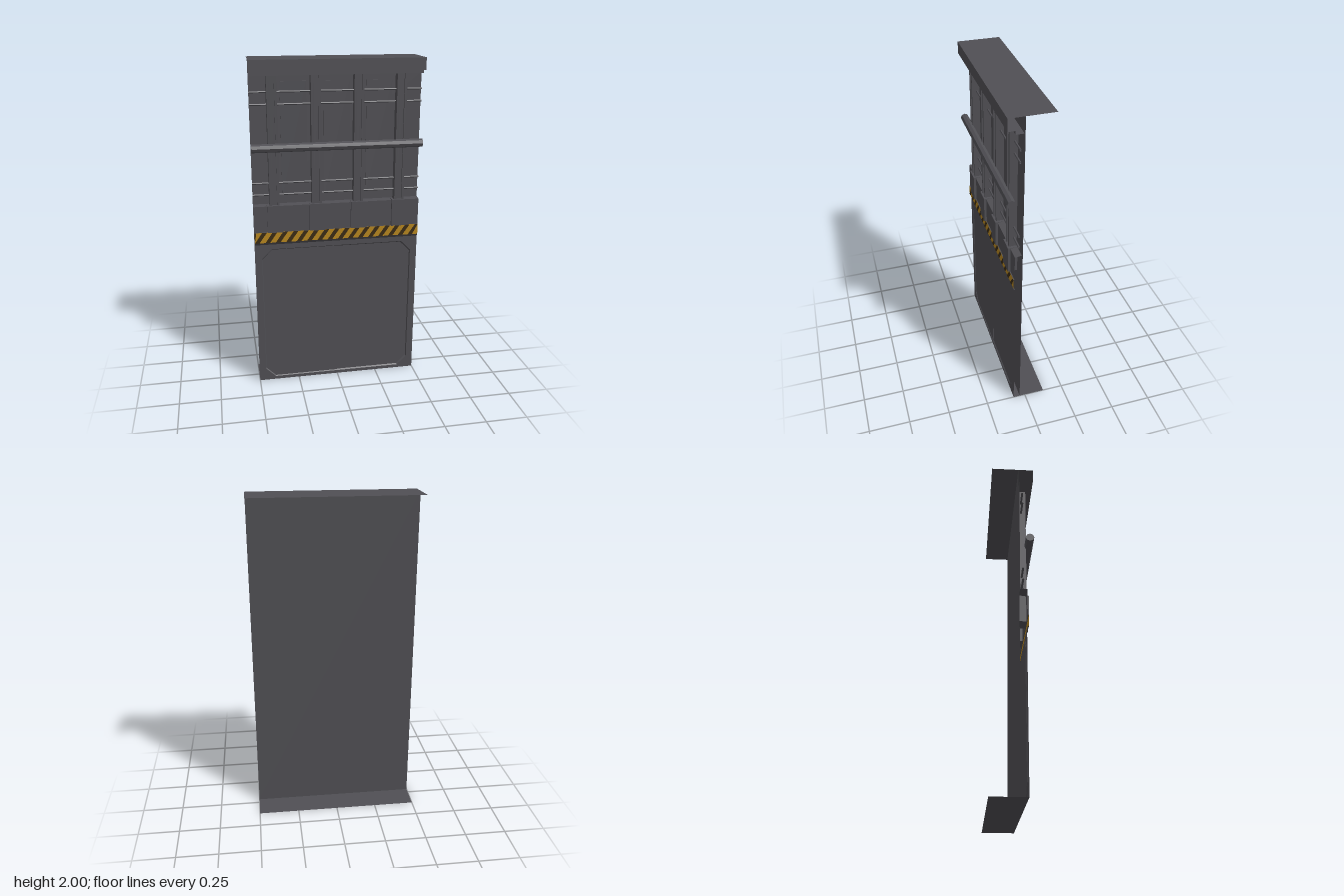
import * as THREE from 'three';

export function createModel() {
  const model = new THREE.Group();
  const mat = (name, color) => {
    const m = new THREE.MeshStandardMaterial({ color, side: THREE.DoubleSide, flatShading: true });
    m.name = name;
    return m;
  };
  const steel = mat('grey steel', 0x504f54);
  const yellow = mat('hazard yellow', 0xb8871f);
  const dark = mat('hazard dark', 0x3a2b14);

  const add = (name, geo, material = steel, x = 0, y = 0, z = 0) => {
    const mesh = new THREE.Mesh(geo, material);
    mesh.name = name;
    mesh.position.set(x, y, z);
    model.add(mesh);
    return mesh;
  };
  const box = (name, w, h, d, x, y, z) => add(name, new THREE.BoxGeometry(w, h, d), steel, x, y, z);

  // Faceted strip joining two matching rows of points
  const ribbon = (a, b) => {
    const pos = [];
    for (let i = 0; i < a.length - 1; i++) {
      pos.push(...a[i], ...b[i], ...b[i + 1], ...a[i], ...b[i + 1], ...a[i + 1]);
    }
    const g = new THREE.BufferGeometry();
    g.setAttribute('position', new THREE.Float32BufferAttribute(pos, 3));
    g.computeVertexNormals();
    return g;
  };
  // Open section of [z, y] points swept across the full width
  const sweep = (pts) => ribbon(pts.map(([z, y]) => [-0.5, y, z]), pts.map(([z, y]) => [0.5, y, z]));
  const flat = (pts, hole) => {
    const s = new THREE.Shape(pts.map((p) => new THREE.Vector2(...p)));
    if (hole) s.holes.push(new THREE.Path(hole.map((p) => new THREE.Vector2(...p))));
    return new THREE.ShapeGeometry(s);
  };

  // Outer shell: open ends, top shelf and floor reach behind the back wall
  add('backWall', sweep([[0.035, 2], [0.035, 0]]));
  add('floorPlate', sweep([[-0.125, 0], [0.075, 0]]));
  add('upperWall', sweep([[0.085, 1], [0.08, 1], [0.08, 1.16], [0.04, 1.165], [0.04, 1.91]]));
  add('topLedge', sweep([[0.04, 1.91], [0.085, 1.91], [0.085, 1.93], [0.125, 1.93], [0.125, 2], [-0.125, 2]]));
  add('lowerLip', sweep([[0.075, 0.92], [0.085, 0.935]]));

  // Lower frame with a chamfered recess and two door leaves
  const oct = [[-0.46, 0.08], [-0.4, 0.02], [0.4, 0.02], [0.46, 0.08],
    [0.46, 0.83], [0.4, 0.89], [-0.4, 0.89], [-0.46, 0.83]];
  add('doorFrame', flat([[-0.5, 0], [0.5, 0], [0.5, 0.92], [-0.5, 0.92]], oct), steel, 0, 0, 0.075);
  const ring = [...oct, oct[0]];
  const inner = ring.map(([x, y]) => [x * 0.99, 0.455 + (y - 0.455) * 0.985, 0.068]);
  add('recessEdge', ribbon(inner, ring.map(([x, y]) => [x, y, 0.075])));
  const half = [[0, 0.02], ...oct.slice(2, 6), [0, 0.89]];
  add('leftDoor', flat(half), steel, 0, 0, 0.068);
  add('rightDoor', flat(half.map(([x, y]) => [-x, y]).reverse()), steel, 0, 0, 0.07);

  // Hazard band with slanted dark stripes
  add('hazardBand', sweep([[0.085, 0.935], [0.085, 1]]), yellow);
  const period = 1 / 16;
  const clamp = (x) => Math.min(0.5, Math.max(-0.5, x));
  for (let i = -1; i < 16; i++) {
    const x = -0.5 + i * period;
    const w = period * 0.45;
    const lean = 0.045;
    add('hazardStripe', flat([[clamp(x), 0.935], [clamp(x + w), 0.935],
      [clamp(x + w + lean), 1], [clamp(x + lean), 1]]), dark, 0, 0, 0.0865);
  }

  // Channel columns on foot blocks
  for (const x of [-0.375, -0.125, 0.125, 0.375]) {
    box('columnFoot', 0.09, 0.165, 0.055, x, 1.0825, 0.0675);
    box('columnWeb', 0.05, 0.745, 0.035, x, 1.5375, 0.0575);
    for (const s of [-1, 1]) box('columnFlange', 0.014, 0.745, 0.045, x + s * 0.022, 1.5375, 0.0625);
  }

  // Thin backing panels between the columns
  for (const x of [-0.25, 0, 0.25]) box('wallPanel', 0.15, 0.68, 0.005, x, 1.535, 0.0425);

  // Horizontal rods and the large pipe
  const rod = (name, r, sides, y, z) => {
    const g = new THREE.CylinderGeometry(r, r, 1, sides, 1, name !== 'mainPipe');
    add(name, g.rotateZ(Math.PI / 2), steel, 0, y, z);
  };
  for (const y of [1.82, 1.75, 1.295, 1.225]) rod('thinRod', 0.006, 6, y, 0.057);
  rod('mainPipe', 0.025, 8, 1.51, 0.1);

  return model;
}
